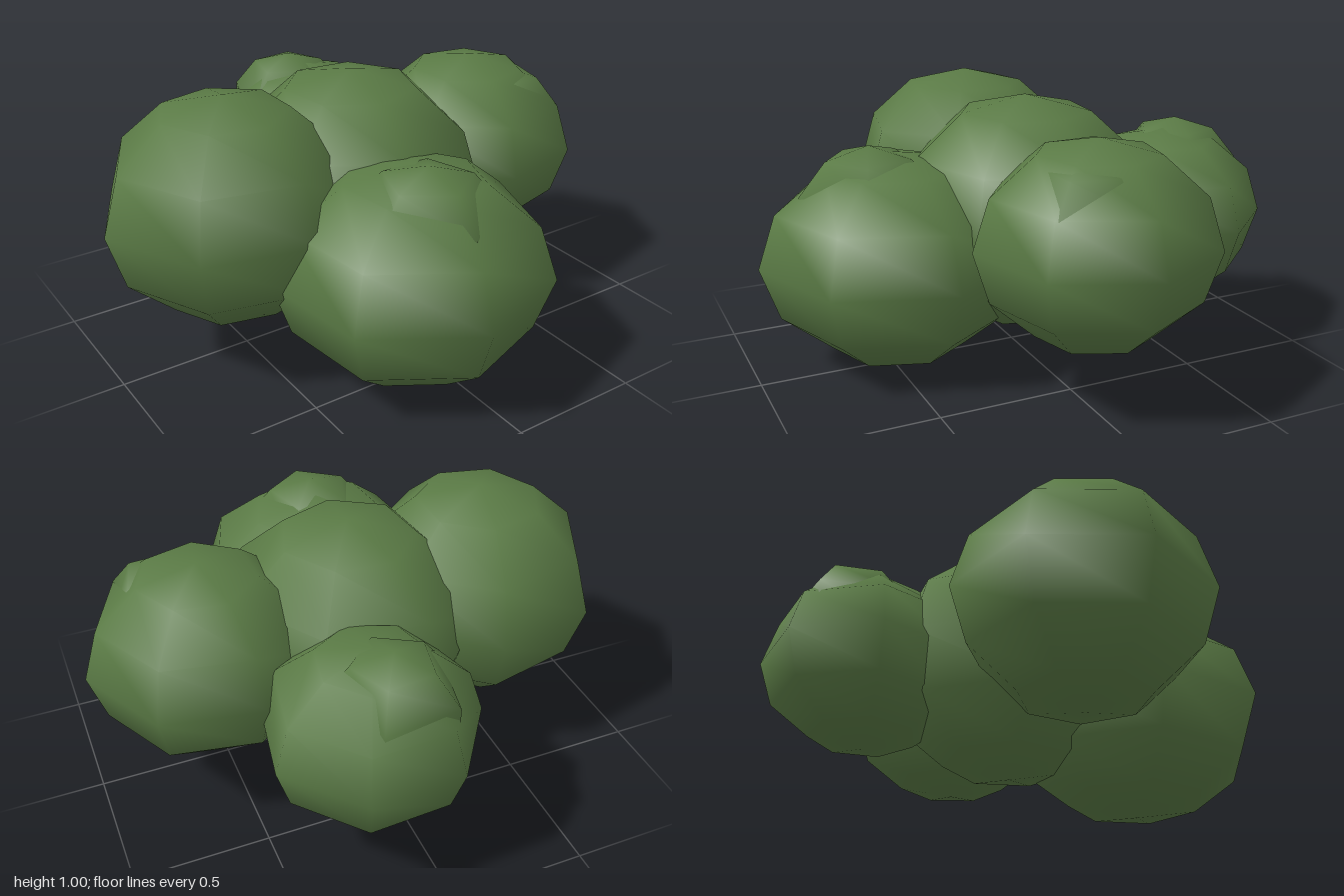
import * as THREE from 'three';

const leafGreen = new THREE.MeshStandardMaterial({ color: 0x5a7a45 });
leafGreen.name = 'leafGreen';

// Smooth-shaded low-poly clump; turn is the azimuth (degrees) of one of its corners
function clump(name, [x, y, z], [rx, ry, rz], turn, sides = 7, rings = 6) {
  const geometry = new THREE.SphereGeometry(1, sides, rings);
  geometry.rotateY(THREE.MathUtils.degToRad(turn - 180));
  geometry.scale(rx, ry, rz);
  const mesh = new THREE.Mesh(geometry, leafGreen);
  mesh.name = name;
  mesh.position.set(x, y, z);
  return mesh;
}

export function createModel() {
  const bush = new THREE.Group();
  bush.name = 'bush';

  // Five big overlapping clumps of foliage
  bush.add(
    clump('centreClump', [0.01, 0.54, -0.05], [0.5, 0.445, 0.5], 110),
    clump('rightClump', [-0.53, 0.58, -0.03], [0.47, 0.42, 0.47], 180),
    clump('leftClump', [0.57, 0.57, -0.05], [0.43, 0.37, 0.43], 2),
    clump('frontClump', [-0.06, 0.4, 0.45], [0.51, 0.4, 0.51], -96),
    clump('backClump', [0.14, 0.5, -0.58], [0.395, 0.33, 0.395], 67)
  );

  // Small tufts that just break through the tops of the outer clumps
  bush.add(
    clump('frontTuft', [-0.07, 0.59, 0.54], [0.28, 0.24, 0.28], -90, 5, 5),
    clump('backTuft', [0.1, 0.64, -0.66], [0.25, 0.22, 0.25], 60, 5, 5),
    clump('leftTuft', [0.67, 0.69, 0.05], [0.24, 0.21, 0.24], -50, 5, 5)
  );
  return bush;
}
